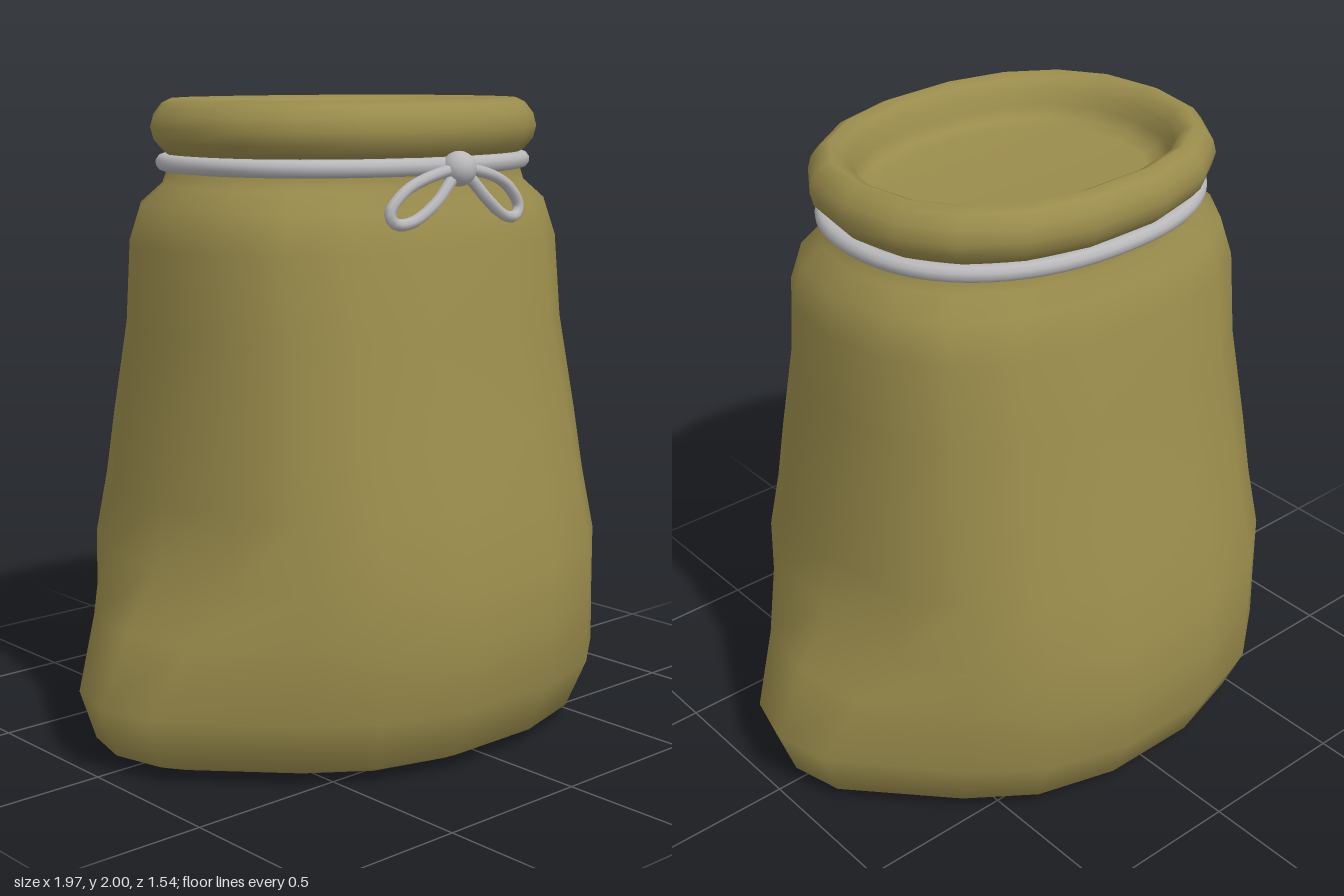
import * as THREE from 'three';

const SIDES = 18;

// Rounded oval point at angle a; power < 1 makes the oval boxier
function oval(a, rx, rz, power) {
  const c = Math.cos(a), s = Math.sin(a);
  return [
    rx * Math.sign(c) * Math.abs(c) ** power,
    rz * Math.sign(s) * Math.abs(s) ** power,
  ];
}

// Skin stacked rings [y, rx, rz, ear]; ear pulls the side corners outward into a pinch
function loftRings(rows) {
  const positions = [], index = [];
  rows.forEach(([y, rx, rz, ear = 0]) => {
    const power = y > 0.5 && y < 1.7 ? 0.82 : 0.9;
    for (let i = 0; i < SIDES; i++) {
      const a = (i / SIDES) * Math.PI * 2;
      let [x, z] = oval(a, rx, rz, power);
      if (Math.abs(Math.sin(a)) < 0.36) {
        x += Math.sign(x) * ear;
        z *= 1 - 2.4 * ear;
      }
      positions.push(x, y, z);
    }
  });
  for (let j = 0; j < rows.length - 1; j++) {
    for (let i = 0; i < SIDES; i++) {
      const a = j * SIDES + i, b = j * SIDES + (i + 1) % SIDES;
      const c = a + SIDES, d = b + SIDES;
      index.push(a, c, b, b, c, d);
    }
  }
  const geometry = new THREE.BufferGeometry();
  geometry.setAttribute('position', new THREE.Float32BufferAttribute(positions, 3));
  geometry.setIndex(index);
  geometry.computeVertexNormals();
  return geometry;
}

export function createModel() {
  const model = new THREE.Group();
  model.name = 'tiedSack';

  const cloth = new THREE.MeshStandardMaterial({ color: 0x9a8c4c });
  cloth.name = 'olive cloth';
  const string = new THREE.MeshStandardMaterial({ color: 0xb9b9bc });
  string.name = 'pale string';

  const add = (name, geometry, material, parent = model) => {
    const mesh = new THREE.Mesh(geometry, material);
    mesh.name = name;
    parent.add(mesh);
    return mesh;
  };

  // Sack: flat base, pinched lower corners, narrowing body and gathered neck
  add('sackBody', loftRings([
    [0, 0, 0],
    [0.005, 0.62, 0.54, 0.08],
    [0.015, 0.70, 0.62, 0.13],
    [0.05, 0.78, 0.69, 0.15],
    [0.21, 0.82, 0.765, 0.165],
    [0.42, 0.80, 0.78, 0.08],
    [0.60, 0.775, 0.76],
    [0.80, 0.745, 0.715],
    [1.00, 0.73, 0.67],
    [1.30, 0.705, 0.595],
    [1.56, 0.71, 0.55],
    [1.68, 0.68, 0.505],
    [1.74, 0.62, 0.47],
    [1.80, 0.59, 0.465],
    [1.83, 0.59, 0.475],
  ]), cloth);

  // Rolled rim and the sunken filling inside it
  add('rolledRim', loftRings([
    [1.82, 0.58, 0.465],
    [1.84, 0.605, 0.49],
    [1.87, 0.632, 0.515],
    [1.91, 0.642, 0.525],
    [1.95, 0.632, 0.515],
    [1.985, 0.605, 0.49],
    [2.00, 0.575, 0.46],
    [1.985, 0.54, 0.43],
    [1.95, 0.515, 0.41],
    [1.91, 0.50, 0.395],
    [1.87, 0.485, 0.38],
    [1.855, 0.44, 0.34],
    [1.855, 0, 0],
  ]), cloth);

  // String around the neck
  const loopPoints = [];
  for (let i = 0; i < 24; i++) {
    const [x, z] = oval((i / 24) * Math.PI * 2, 0.597, 0.478, 0.9);
    loopPoints.push(new THREE.Vector3(x, 1.805, z));
  }
  add('neckString', new THREE.TubeGeometry(
    new THREE.CatmullRomCurve3(loopPoints, true), 64, 0.027, 10, true), string);

  // Bow: round knot with a drooping loop on each side
  const bow = new THREE.Group();
  bow.name = 'bow';
  model.add(bow);
  add('knot', new THREE.SphereGeometry(0.053, 16, 12), string, bow)
    .position.set(-0.005, 1.797, 0.51);
  for (const side of [-1, 1]) {
    const points = [
      [0, 1.795, 0.51], [0.12, 1.778, 0.51], [0.22, 1.735, 0.5],
      [0.272, 1.675, 0.495], [0.255, 1.645, 0.5], [0.195, 1.648, 0.51],
      [0.11, 1.70, 0.52], [0.04, 1.765, 0.515],
    ].map(([x, y, z]) => new THREE.Vector3(side * x, y, z));
    add(side > 0 ? 'leftBowLoop' : 'rightBowLoop', new THREE.TubeGeometry(
      new THREE.CatmullRomCurve3(points, true), 40, 0.018, 8, true), string, bow);
  }

  return model;
}
